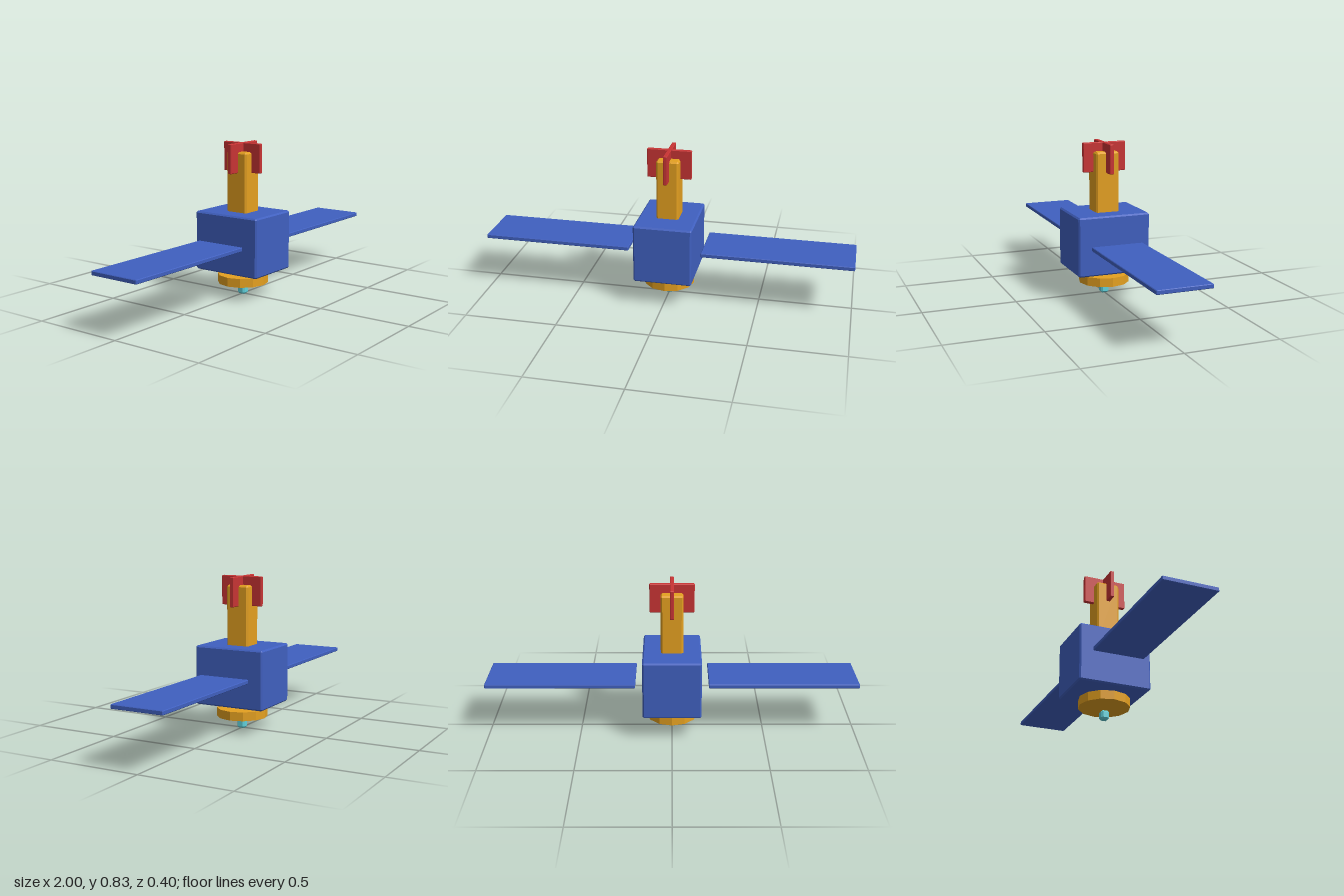
import * as THREE from 'three';
import { ConvexGeometry } from 'three/addons/geometries/ConvexGeometry.js';

const paint = (color) => new THREE.MeshStandardMaterial({ color, flatShading: true });

// Box spanning w, h, d with all edges chamfered by c
function chamferBox(w, h, d, c) {
  const points = [];
  for (const sx of [-1, 1]) for (const sy of [-1, 1]) for (const sz of [-1, 1]) {
    const x = w / 2, y = h / 2, z = d / 2;
    points.push(
      new THREE.Vector3(sx * x, sy * (y - c), sz * (z - c)),
      new THREE.Vector3(sx * (x - c), sy * y, sz * (z - c)),
      new THREE.Vector3(sx * (x - c), sy * (y - c), sz * z),
    );
  }
  return new ConvexGeometry(points);
}

export function createModel() {
  const model = new THREE.Group();
  model.name = 'satellite';
  const blue = paint(0x4060c0), orange = paint(0xe4a020);
  const red = paint(0xc83434), cyan = paint(0x62d2dc);

  function add(name, geometry, material, x, y) {
    const mesh = new THREE.Mesh(geometry, material);
    mesh.name = name;
    mesh.position.set(x, y, 0);
    model.add(mesh);
    return mesh;
  }

  // Main body
  add('body', chamferBox(0.314, 0.32, 0.4, 0.008), blue, 0, 0.3);

  // Solar panels, floating clear of the body
  for (const [name, side] of [['leftPanel', 1], ['rightPanel', -1]]) {
    add(name, chamferBox(0.803, 0.022, 0.286, 0.003), blue, side * 0.5985, 0.301);
  }

  // Mast, sunk slightly into the body
  add('mast', chamferBox(0.12, 0.343, 0.128, 0.009), orange, 0, 0.6115);

  // Crossed fins at the mast head
  add('crossFin', chamferBox(0.238, 0.158, 0.022, 0.003), red, 0, 0.751);
  add('lengthFin', chamferBox(0.022, 0.158, 0.238, 0.003), red, 0, 0.751);

  // Twelve-sided dish under the body, with its stem and the tip below it
  add('dish', new THREE.CylinderGeometry(0.138, 0.138, 0.048, 12), orange, 0, 0.09);
  add('stem', chamferBox(0.046, 0.06, 0.046, 0.008), cyan, 0, 0.128);
  add('tip', chamferBox(0.046, 0.049, 0.046, 0.009), cyan, 0, 0.0245);

  return model;
}
